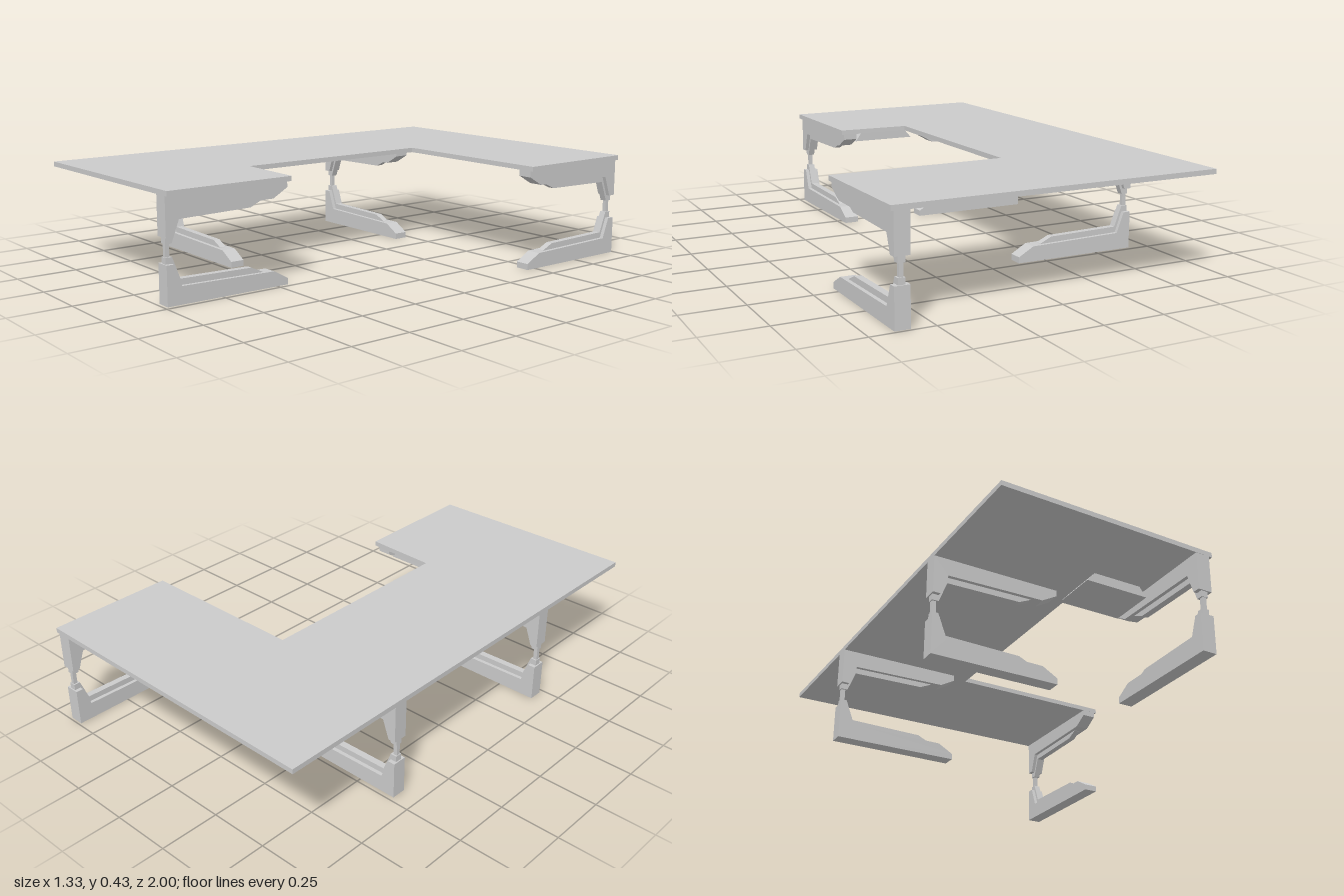
import * as THREE from 'three';

const material = new THREE.MeshStandardMaterial({ color: 0xcccccc, flatShading: true });
const LEG_HEIGHT = 0.41;

// Extruded outline, centred on its depth
function plate(name, points, depth) {
  const shape = new THREE.Shape(points.map(([x, y]) => new THREE.Vector2(x, y)));
  const geometry = new THREE.ExtrudeGeometry(shape, { depth, bevelEnabled: false });
  geometry.translate(0, 0, -depth / 2);
  const mesh = new THREE.Mesh(geometry, material);
  mesh.name = name;
  return mesh;
}

// Side outlines of the lower half of a leg: wide shell and narrow inner rib
const SHELL = [[0, 0], [0.535, 0], [0.535, 0.025], [0.47, 0.062], [0.062, 0.07], [0.031, 0.155], [0, 0.155]];
const RIB = [[0.005, 0.02], [0.45, 0.02], [0.425, 0.065], [0.375, 0.088], [0.065, 0.094], [0.032, 0.18], [0.005, 0.18]];

// Leg with mirrored foot and top arm joined by a slim post
function leg(name, x, z, turn) {
  const group = new THREE.Group();
  group.name = name;
  const flip = (points) => points.map(([u, y]) => [u, LEG_HEIGHT - y]);
  group.add(
    plate('foot', SHELL, 0.06),
    plate('footRib', RIB, 0.028),
    plate('topArm', flip(SHELL), 0.06),
    plate('topArmRib', flip(RIB), 0.028)
  );
  const post = new THREE.Mesh(new THREE.BoxGeometry(0.017, 0.1, 0.016), material);
  post.name = 'post';
  post.position.set(0.016, LEG_HEIGHT / 2, 0);
  group.add(post);
  group.position.set(x, 0, z);
  group.rotation.y = turn;
  return group;
}

export function createModel() {
  const model = new THREE.Group();
  model.name = 'desk';

  // U-shaped top with a long rear wing and a short front wing, as [x, z]
  const outline = [
    [-0.667, -1], [0.665, -0.993], [0.665, -0.455], [-0.06, -0.45],
    [-0.06, 0.43], [0.245, 0.44], [0.245, 0.985], [-0.667, 1],
  ];
  const top = plate('tableTop', outline.map(([x, z]) => [x, -z]), 0.02);
  top.rotation.x = -Math.PI / 2;
  top.position.y = LEG_HEIGHT + 0.01;
  model.add(top);

  // Two legs along the straight side, one at the end of each wing
  for (const side of [-1, 1]) {
    model.add(leg(side < 0 ? 'rearSideLeg' : 'frontSideLeg', -0.667, side * 0.45, 0));
  }
  model.add(leg('rearWingLeg', 0.623, -0.99, -Math.PI / 2));
  model.add(leg('frontWingLeg', 0.2, 0.985, Math.PI / 2));

  // Flared tray under the front wing
  const tray = plate('underTray', [[-0.11, 0.37], [0.165, 0.37], [0.135, 0.41], [-0.075, 0.41]], 0.2);
  tray.position.z = 0.57;
  model.add(tray);

  return model;
}
